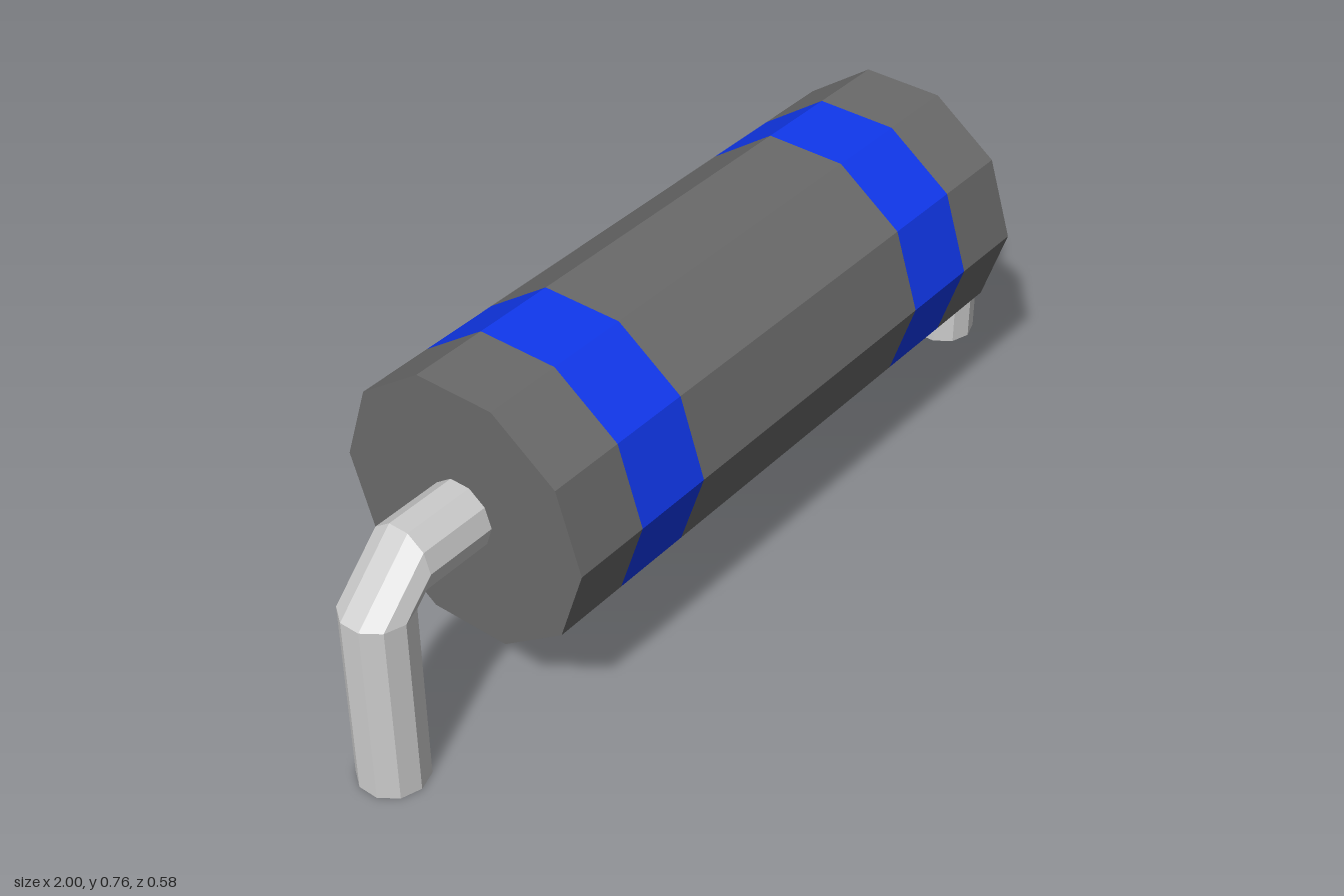
import * as THREE from 'three';

const SIDES = 10, AXIS_Y = 0.483, BODY_R = 0.288, LEAD_R = 0.073;
const mat = (color) => new THREE.MeshStandardMaterial({ color, flatShading: true });

// Bent lead on the +x side: decagonal rings joined by a single bevelled elbow
function leadGeometry() {
  const rings = [
    (u, z) => [0.7, AXIS_Y + u, z],
    (u, z) => [0.86, AXIS_Y + u, z],
    (u, z) => [0.93 + u, 0.414, z],
    (u, z) => [0.93 + u, 0, z],
  ];
  const positions = [], index = [];
  for (const ring of rings) {
    for (let j = 0; j < SIDES; j++) {
      const a = (2 * Math.PI * (j + 0.5)) / SIDES;
      positions.push(...ring(LEAD_R * Math.cos(a), LEAD_R * Math.sin(a)));
    }
  }
  const centre = rings.length * SIDES, last = centre - SIDES;
  positions.push(0.93, 0, 0);
  for (let j = 0; j < SIDES; j++) {
    const k = (j + 1) % SIDES;
    for (let i = 0; i < last; i += SIDES) {
      index.push(i + j, i + k, i + SIDES + j, i + k, i + SIDES + k, i + SIDES + j);
    }
    index.push(centre, last + j, last + k); // foot cap
  }
  const g = new THREE.BufferGeometry();
  g.setAttribute('position', new THREE.Float32BufferAttribute(positions, 3));
  g.setIndex(index);
  const flat = g.toNonIndexed();
  flat.computeVertexNormals();
  return flat;
}

export function createModel() {
  const model = new THREE.Group();
  model.name = 'axialComponent';
  const bodyMat = mat(0x6a6a6a), bandMat = mat(0x1038ee), leadMat = mat(0xcccccc);
  const add = (name, geometry, material) => {
    const mesh = new THREE.Mesh(geometry, material);
    mesh.name = name;
    model.add(mesh);
    return mesh;
  };

  // Barrel: sections along x, alternating casing and coloured bands
  const stops = [-0.7, -0.53, -0.35, 0.35, 0.53, 0.7];
  for (let i = 0; i < stops.length - 1; i++) {
    const length = stops[i + 1] - stops[i], band = i % 2 === 1;
    const g = new THREE.CylinderGeometry(BODY_R, BODY_R, length, SIDES, 1, true).rotateZ(Math.PI / 2);
    add(band ? 'colourBand' : 'bodySection', g, band ? bandMat : bodyMat)
      .position.set((stops[i] + stops[i + 1]) / 2, AXIS_Y, 0);
  }

  // End caps and leads on both sides
  const lead = leadGeometry();
  for (const side of [1, -1]) {
    const cap = new THREE.CircleGeometry(BODY_R, SIDES).rotateY((side * Math.PI) / 2);
    add('endCap', cap, bodyMat).position.set(side * 0.7, AXIS_Y, 0);
    add(side > 0 ? 'leftLead' : 'rightLead', lead, leadMat).rotation.y = side > 0 ? 0 : Math.PI;
  }
  return model;
}
